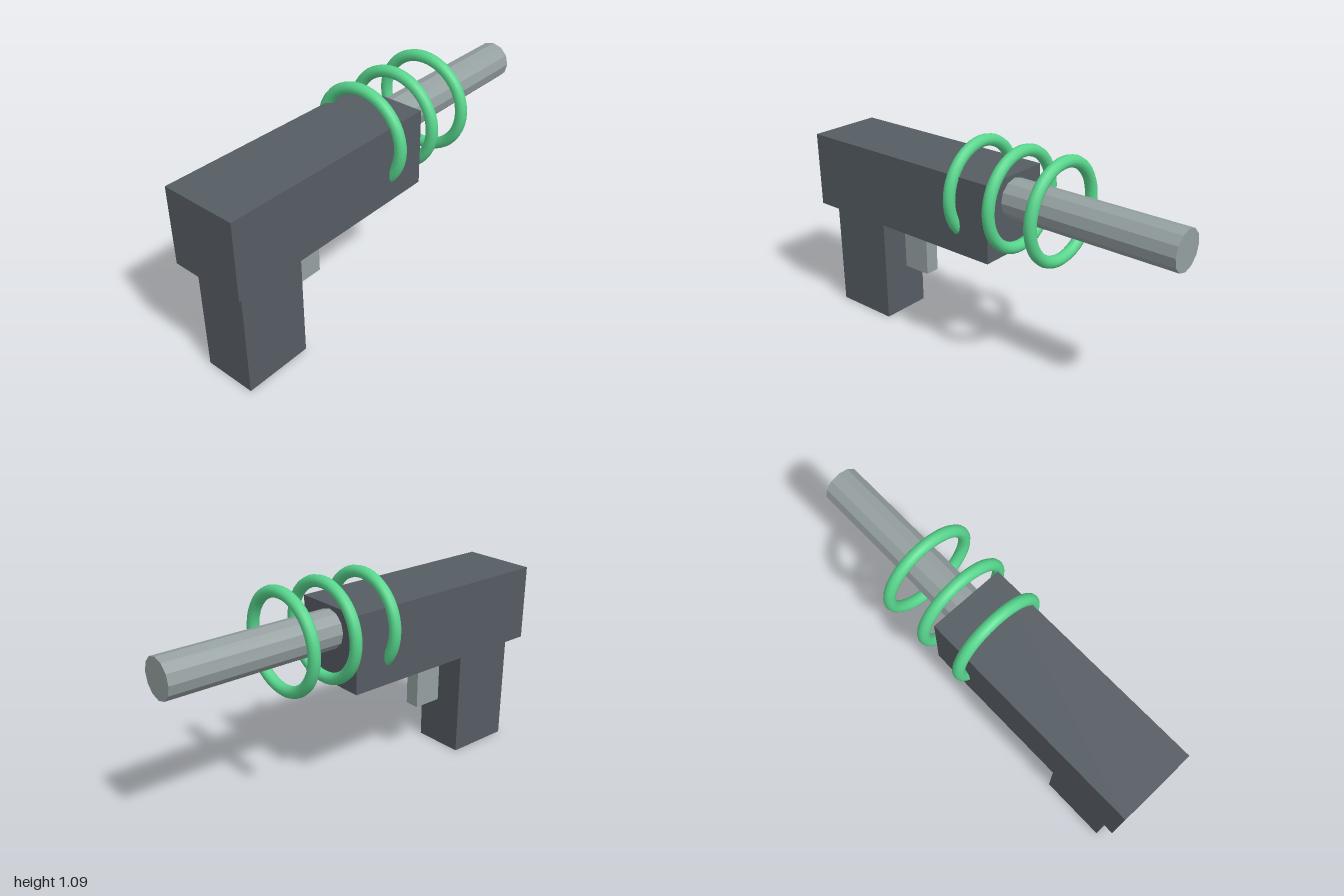
import * as THREE from 'three';

const material = (name, color) => {
  const m = new THREE.MeshStandardMaterial({ color });
  m.name = name;
  return m;
};

// Faceted copy of a geometry
function faceted(geometry) {
  const flat = geometry.toNonIndexed();
  flat.computeVertexNormals();
  return flat;
}

export function createModel() {
  const model = new THREE.Group();
  const darkMetal = material('dark metal', 0x555c63);
  const greyMetal = material('grey metal', 0x95a0a1);
  const green = material('green coil', 0x58d68d);

  const add = (name, geometry, mat, x, y, z) => {
    const mesh = new THREE.Mesh(geometry, mat);
    mesh.name = name;
    mesh.position.set(x, y, z);
    model.add(mesh);
  };

  // Body, grip and the separate trigger block
  add('body', new THREE.BoxGeometry(0.377, 0.377, 1.132), darkMetal, 0, 0.755, 0.434);
  add('grip', new THREE.BoxGeometry(0.264, 0.566, 0.34), darkMetal, 0, 0.283, 0.774);
  add('trigger', new THREE.BoxGeometry(0.075, 0.189, 0.151), greyMetal, 0, 0.379, 0.474);

  // Twelve-sided barrel running into the body
  const axisY = 0.832;
  const barrel = faceted(new THREE.CylinderGeometry(0.095, 0.095, 0.94, 12).rotateX(Math.PI / 2));
  add('barrel', barrel, greyMetal, 0, axisY, -0.53);

  // Three smooth coil rings around the barrel axis
  const ring = new THREE.TorusGeometry(0.2265, 0.0285, 12, 48);
  [0.06, -0.168, -0.395].forEach((z, i) => add(`coilRing${i + 1}`, ring, green, 0, axisY, z));

  return model;
}
